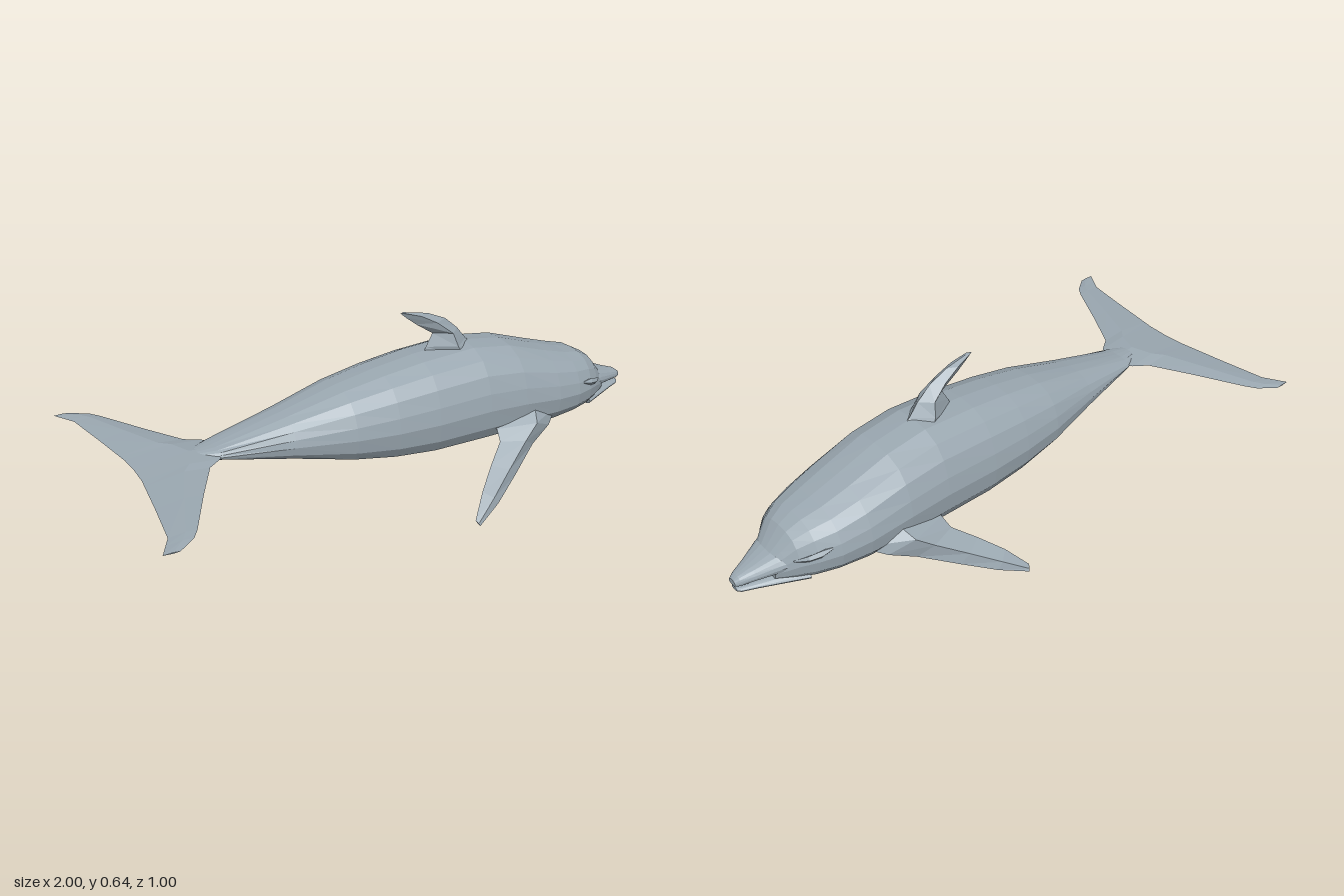
import * as THREE from 'three';

const skin = new THREE.MeshStandardMaterial({ color: 0x9aa7b0, flatShading: true });
skin.name = 'greySkin';

// Skin a closed solid over rings of [x, y, z] points, facing outwards
function loft(name, rings) {
  const n = rings[0].length;
  const tris = [];
  const add = (a, b, c) => tris.push([a, b, c]);
  for (let i = 0; i < rings.length - 1; i++) {
    for (let j = 0; j < n; j++) {
      const k = (j + 1) % n;
      add(rings[i][j], rings[i + 1][j], rings[i + 1][k]);
      add(rings[i][j], rings[i + 1][k], rings[i][k]);
    }
  }
  const last = rings[rings.length - 1];
  for (let j = 1; j < n - 1; j++) {
    add(rings[0][0], rings[0][j], rings[0][j + 1]);
    add(last[0], last[j + 1], last[j]);
  }
  // Signed volume tells whether the winding must be reversed
  const v = (p) => new THREE.Vector3(...p);
  const volume = tris.reduce((s, [a, b, c]) => s + v(a).dot(v(b).cross(v(c))), 0);
  const pos = tris.flatMap(([a, b, c]) => (volume < 0 ? [a, c, b] : [a, b, c])).flat();
  const geo = new THREE.BufferGeometry();
  geo.setAttribute('position', new THREE.Float32BufferAttribute(pos, 3));
  geo.computeVertexNormals();
  const mesh = new THREE.Mesh(geo, skin);
  mesh.name = name;
  return mesh;
}

// Half cross-section as fractions of half width and half height, top to bottom
const HALF = [[0, 1], [0.36, 0.96], [0.66, 0.8], [0.84, 0.54], [0.95, 0.2],
  [1, -0.15], [0.95, -0.55], [0.8, -0.82], [0.5, -0.99], [0, -1]];
const SECTION = [...HALF, ...HALF.slice(1, -1).reverse().map(([w, h]) => [-w, h])];

// Ring across the body at x, from bottom to top
const bodyRing = ([x, bottom, top, half]) => SECTION.map(([w, h]) =>
  [x, (top + bottom) / 2 + (h * (top - bottom)) / 2, w * half]);

// Diamond section of a fin: leading edge, upper side, trailing edge, lower side
function finRing([lead, trail, thick], normal) {
  const mid = lead.map((c, i) => c * 0.6 + trail[i] * 0.4);
  const side = (s) => mid.map((c, i) => c + s * thick * normal[i]);
  return [lead, side(1), trail, side(-1)];
}

const mirror = (rings, s) => rings.map((r) => r.map(([x, y, z]) => [x, y, z * s]));

export function createModel() {
  const model = new THREE.Group();
  model.name = 'dolphin';

  // Body from tail stock to forehead: x, bottom, top, half width
  model.add(loft('body', [
    [-0.76, 0.31, 0.326, 0.012], [-0.64, 0.302, 0.338, 0.065], [-0.4, 0.25, 0.392, 0.115],
    [-0.2, 0.2, 0.442, 0.16], [-0.05, 0.172, 0.468, 0.178], [0.1, 0.156, 0.486, 0.187],
    [0.3, 0.153, 0.496, 0.19], [0.45, 0.155, 0.472, 0.19], [0.6, 0.159, 0.42, 0.182],
    [0.7, 0.164, 0.388, 0.165], [0.77, 0.168, 0.37, 0.14], [0.82, 0.172, 0.342, 0.11],
    [0.855, 0.178, 0.3, 0.085], [0.885, 0.183, 0.265, 0.062],
  ].map(bodyRing)));

  // Beak: two jaws with a narrow open mouth between them
  model.add(loft('upperJaw', [
    [0.79, 0.215, 0.3, 0.112], [0.87, 0.21, 0.278, 0.078], [0.94, 0.204, 0.25, 0.046],
    [0.985, 0.2, 0.235, 0.027], [1, 0.203, 0.224, 0.018],
  ].map(bodyRing)));
  model.add(loft('lowerJaw', [
    [0.79, 0.169, 0.21, 0.115], [0.87, 0.172, 0.204, 0.077], [0.94, 0.175, 0.197, 0.044],
    [0.985, 0.177, 0.193, 0.025], [0.995, 0.18, 0.191, 0.016],
  ].map(bodyRing)));

  // Swept-back dorsal fin: height, leading x, trailing x, half thickness
  model.add(loft('dorsalFin', [
    [0.46, 0.36, 0.13, 0.06], [0.5, 0.31, 0.15, 0.055], [0.545, 0.275, 0.175, 0.038],
    [0.59, 0.225, 0.11, 0.026], [0.622, 0.155, 0.07, 0.018], [0.64, 0.075, 0.05, 0.008],
  ].map(([y, lead, trail, t]) => finRing([[lead, y, 0], [trail, y, 0], t], [0, 0, 1]))));

  // Flipper: leading edge, trailing edge, half thickness
  const flipper = [
    [[0.62, 0.22, 0.13], [0.28, 0.24, 0.12], 0.06],
    [[0.55, 0.185, 0.185], [0.33, 0.22, 0.18], 0.05],
    [[0.46, 0.145, 0.215], [0.32, 0.19, 0.215], 0.036],
    [[0.34, 0.09, 0.285], [0.25, 0.14, 0.265], 0.022],
    [[0.23, 0.04, 0.345], [0.18, 0.085, 0.32], 0.012],
    [[0.13, 0.002, 0.386], [0.12, 0.02, 0.372], 0.003],
  ].map((s) => finRing(s, [0.13, 0.57, 0.81]));

  // Fluke: distance from the middle, leading x, trailing x, half thickness
  const fluke = [
    [0, -0.6, -0.9, 0.016], [0.075, -0.645, -0.903, 0.014], [0.11, -0.695, -0.908, 0.012],
    [0.25, -0.775, -0.928, 0.009], [0.42, -0.866, -0.955, 0.005],
    [0.455, -0.89, -0.975, 0.004], [0.498, -0.948, -1, 0.002],
  ].map(([z, lead, trail, t]) =>
    finRing([[lead, 0.322 - z * 0.02, z], [trail, 0.314, z], t], [0, 1, 0]));

  // Almond eye with a slight brow ridge
  const eye = [
    [0.725, 0.292, 0.15, 0.003], [0.765, 0.283, 0.141, 0.013], [0.8, 0.273, 0.124, 0.011],
    [0.835, 0.264, 0.096, 0.003],
  ].map(([x, y, z, r]) => [[x, y + r, z], [x, y, z + r * 0.8], [x, y - r, z], [x, y, z - 0.015]]);

  for (const [label, s] of [['left', -1], ['right', 1]]) {
    model.add(loft(label + 'Flipper', mirror(flipper, s)));
    model.add(loft(label + 'Fluke', mirror(fluke, s)));
    model.add(loft(label + 'Eye', mirror(eye, s)));
  }
  return model;
}
